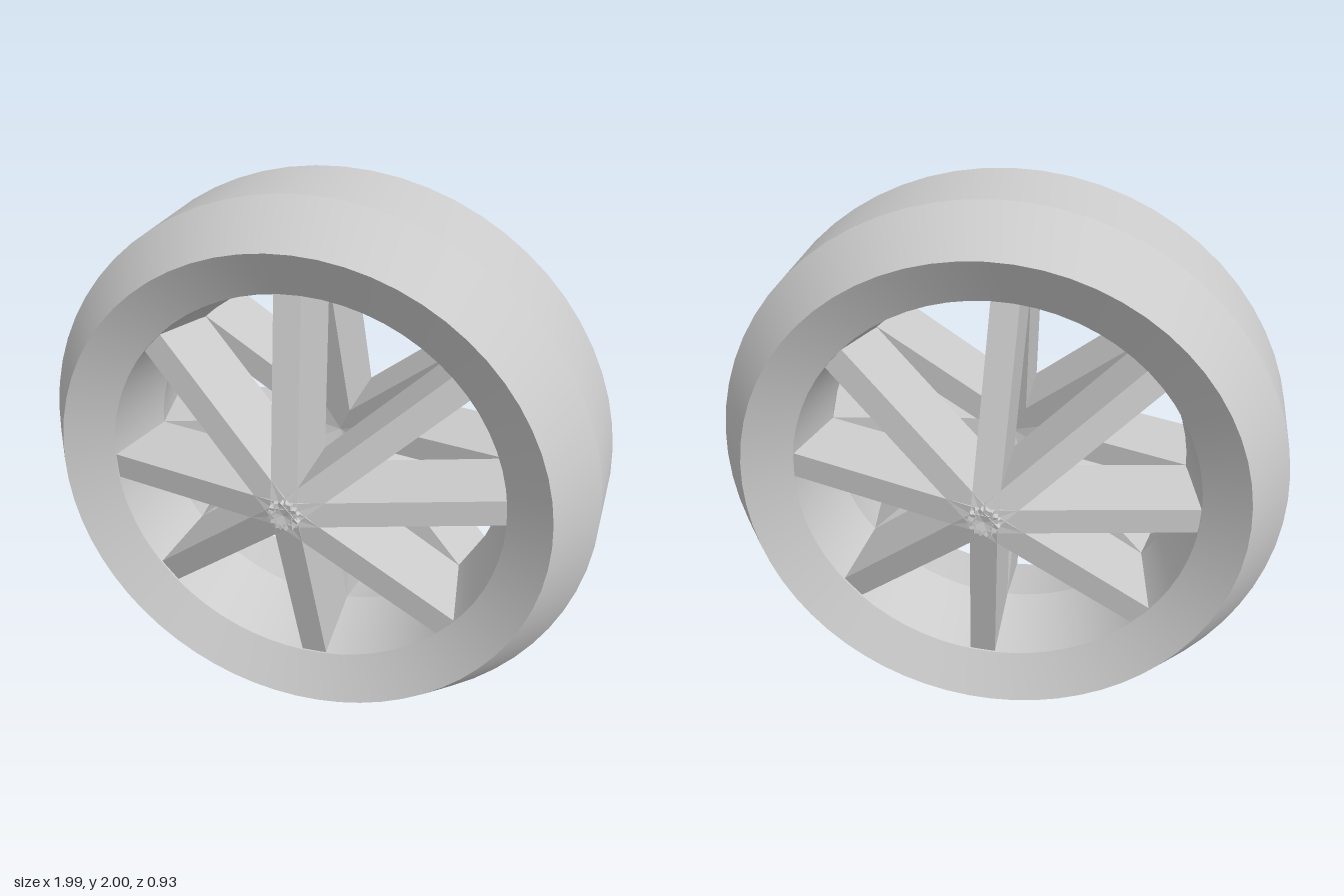
import * as THREE from 'three';
import { toCreasedNormals } from 'three/addons/utils/BufferGeometryUtils.js';

const material = new THREE.MeshStandardMaterial({ color: 0xcccccc });

// Tyre and rim in one ring: bevelled tread, dished sides, hole narrowest at mid-depth
function makeRim() {
  const half = [[0.71, 0.28], [0.87, 0.36], [0.997, 0.165]]; // radius, depth
  const profile = [
    [0.65, 0],
    ...half.map(([r, d]) => [r, -d]),
    ...half.map(([r, d]) => [r, d]).reverse(),
    [0.65, 0],
  ].map(([r, d]) => new THREE.Vector2(r, d));
  const geometry = new THREE.LatheGeometry(profile, 64);
  geometry.rotateX(Math.PI / 2);
  const rim = new THREE.Mesh(toCreasedNormals(geometry, 0.3), material);
  rim.name = 'rim';
  return rim;
}

// Deep blade, leaning outward from the rim to the hub point
function makeSpokeGeometry() {
  const slope = 0.252, depth = 0.28, width = 0.093;
  const start = -0.03, end = 0.74;
  const geometry = new THREE.BoxGeometry(end - start, width, depth);
  geometry.translate((start + end) / 2, 0, -depth / 2);
  geometry.rotateY(slope);
  geometry.translate(0, 0, 0.457);
  return geometry;
}

function makeSpokes(name) {
  const spokes = new THREE.Group();
  spokes.name = name;
  const geometry = makeSpokeGeometry();
  for (const degrees of [3.6, 41.6, 93.6, 138.4, 183.6, 221.6, 273.6, 318.4]) {
    const spoke = new THREE.Mesh(geometry, material);
    spoke.name = 'spoke';
    spoke.rotation.z = THREE.MathUtils.degToRad(degrees);
    spokes.add(spoke);
  }
  return spokes;
}

export function createModel() {
  const wheel = new THREE.Group();
  wheel.name = 'wheel';

  // Back spokes mirror the front ones, blade behind blade
  const backSpokes = makeSpokes('backSpokes');
  backSpokes.scale.z = -1;
  wheel.add(makeRim(), makeSpokes('frontSpokes'), backSpokes);

  // The wheel leans back very slightly
  wheel.rotation.x = -0.0144;
  wheel.position.y = 1;

  const model = new THREE.Group();
  model.name = 'spokedWheel';
  model.add(wheel);
  return model;
}
